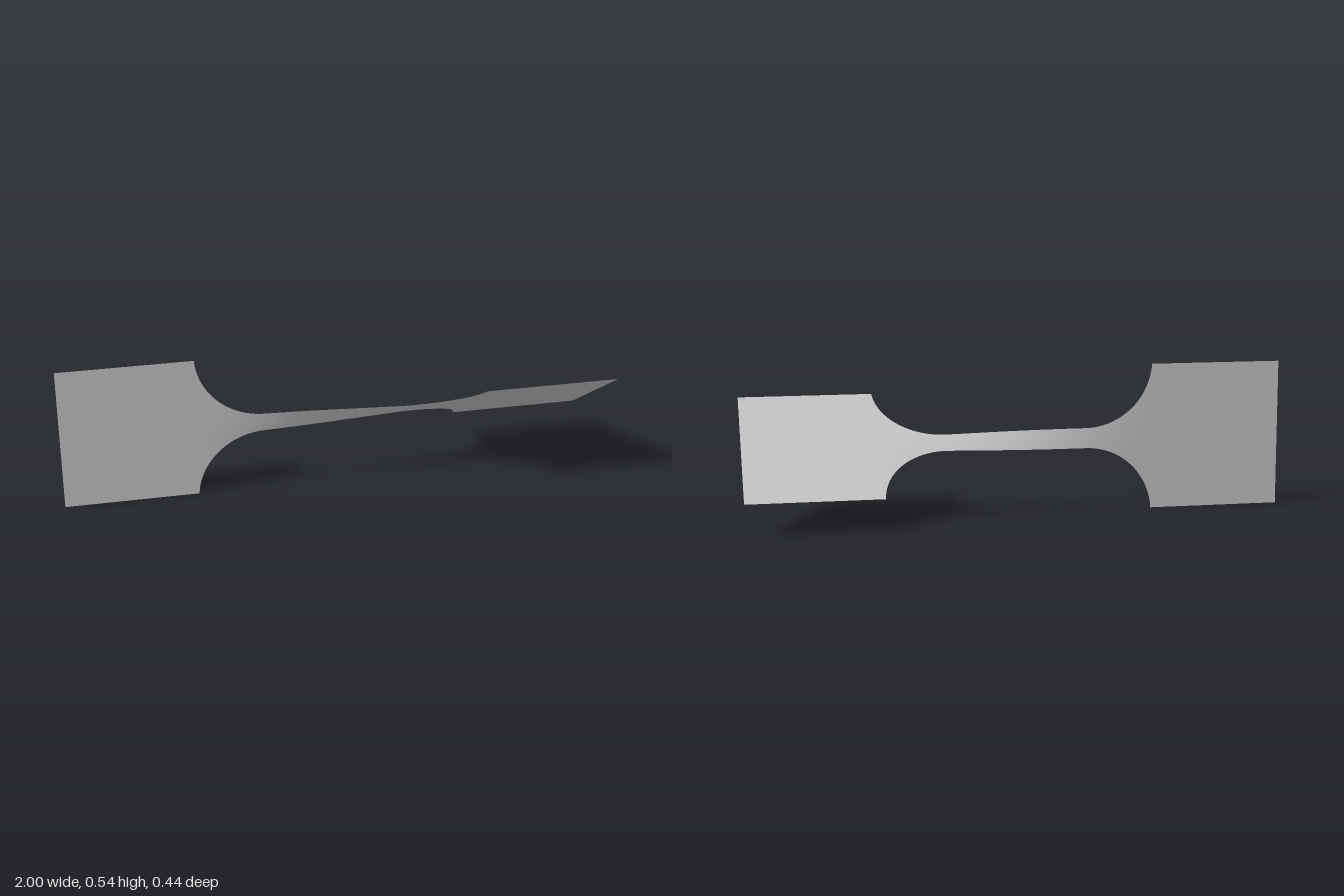
import * as THREE from 'three';

const MID_Y = 0.271;             // height of the long axis
const HALF = 0.271;              // half width of the grip tabs
const NECK = 0.037;              // half width of the narrow gauge
const R = 0.25;                  // shoulder radius
const NECK_END = 0.26;           // where the shoulders begin
const TWIST = THREE.MathUtils.degToRad(55);
const ACROSS = 10;

// Twist eases from zero at one shoulder to the full angle at the other
const twistAt = (x) => TWIST * THREE.MathUtils.smoothstep(x, -0.51, 0.51);

// Sheet through stations [x, halfWidth], ordered by rising x
function sheet(name, stations, material) {
  const positions = [];
  const index = [];
  const row = ACROSS + 1;
  stations.forEach(([x, half], i) => {
    const a = twistAt(x);
    for (let j = 0; j <= ACROSS; j++) {
      const s = half * (2 * j / ACROSS - 1);
      positions.push(x, MID_Y + s * Math.cos(a), s * Math.sin(a));
      if (i > 0 && j > 0) {
        const d = i * row + j, c = d - 1, b = d - row, e = b - 1;
        index.push(e, c, d, e, d, b);
      }
    }
  });
  const geometry = new THREE.BufferGeometry();
  geometry.setAttribute('position', new THREE.Float32BufferAttribute(positions, 3));
  geometry.setIndex(index);
  geometry.computeVertexNormals();
  const mesh = new THREE.Mesh(geometry, material);
  mesh.name = name;
  return mesh;
}

export function createModel() {
  const metal = new THREE.MeshStandardMaterial({ color: 0xc4c4c4, side: THREE.DoubleSide });
  metal.name = 'lightGreyMetal';

  // Shoulder arc, from the neck out to the tab corner
  const endAngle = Math.acos((NECK + R - HALF) / R);
  const shoulder = [];
  for (let i = 0; i <= 32; i++) {
    const a = endAngle * i / 32;
    shoulder.push([NECK_END + R * Math.sin(a), NECK + R * (1 - Math.cos(a))]);
  }
  const tabStart = shoulder[shoulder.length - 1][0];

  // Neck with both shoulders
  const middle = shoulder.map(([x, h]) => [-x, h]).reverse();
  for (let i = 1; i < 40; i++) middle.push([NECK_END * (i / 20 - 1), NECK]);
  middle.push(...shoulder);

  const group = new THREE.Group();
  group.name = 'twistedTensileSpecimen';
  group.add(
    sheet('rightGripTab', [[-1, HALF], [-tabStart, HALF]], metal),
    sheet('twistedNeck', middle, metal),
    sheet('leftGripTab', [[tabStart, HALF], [1, HALF]], metal),
  );
  return group;
}
